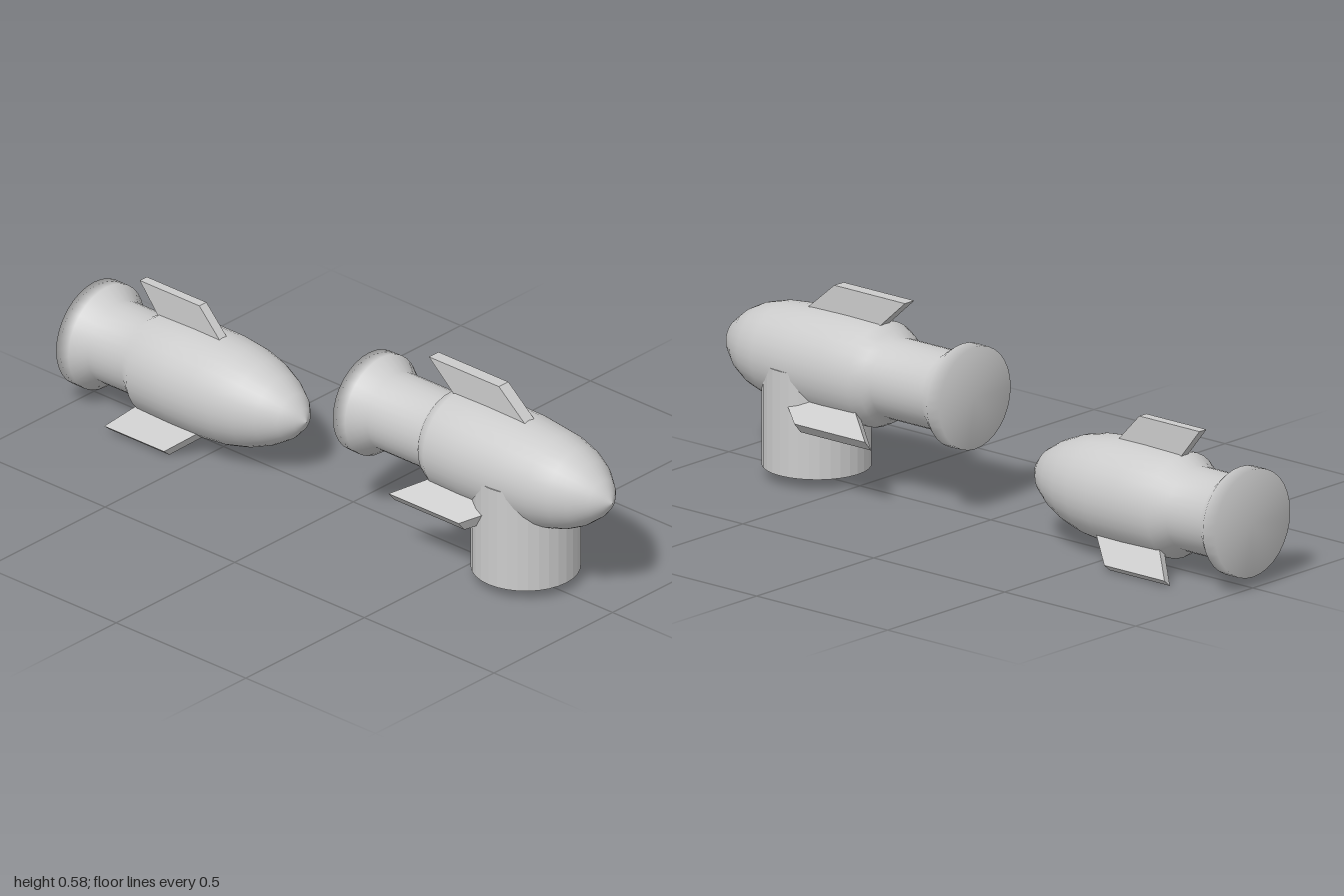
import * as THREE from 'three';

const material = new THREE.MeshStandardMaterial({ color: 0xcccccc });
const smoothBoth = new THREE.MeshStandardMaterial({ color: 0xcccccc, side: THREE.DoubleSide });
const faceted = new THREE.MeshStandardMaterial({ color: 0xcccccc, flatShading: true });

// Fin outline as [z, radius] corners, extruded sideways and turned about the rocket's axis
function makeFin(outline, thickness, angle, name) {
  const shape = new THREE.Shape(outline.map(([z, r]) => new THREE.Vector2(z, r)));
  const geometry = new THREE.ExtrudeGeometry(shape, { depth: thickness, bevelEnabled: false });
  geometry.translate(0, 0, -thickness / 2);
  geometry.rotateY(-Math.PI / 2); // shape x becomes z, depth runs along x
  geometry.rotateZ(angle);
  const fin = new THREE.Mesh(geometry, faceted);
  fin.name = name;
  return fin;
}

// Body profile is [radius, z] from tail to nose
function makeRocket({ name, height, profile, fin, thickness, lowerAngle }) {
  const rocket = new THREE.Group();
  rocket.name = name;
  const points = profile.map(([r, z]) => new THREE.Vector2(r, z));
  const hull = new THREE.LatheGeometry(points, 32);
  hull.rotateX(Math.PI / 2);
  const body = new THREE.Mesh(hull, smoothBoth);
  body.name = 'body';
  rocket.add(body);

  // One upright fin and a mirrored pair below
  rocket.add(
    makeFin(fin, thickness, 0, 'topFin'),
    makeFin(fin, thickness, -lowerAngle, 'leftFin'),
    makeFin(fin, thickness, lowerAngle, 'rightFin'),
  );
  rocket.position.y = height;
  return rocket;
}

export function createModel() {
  const model = new THREE.Group();
  model.name = 'rocketPair';

  model.add(makeRocket({
    name: 'frontRocket',
    height: 0.353,
    profile: [
      [0, 0.06], [0.152, 0.06], [0.153, 0.108], [0.118, 0.16], [0.118, 0.355], [0.138, 0.375],
      [0.155, 0.41], [0.157, 0.53], [0.155, 0.66], [0.142, 0.79], [0.123, 0.86],
      [0.098, 0.91], [0.058, 0.96], [0.028, 0.985], [0, 1],
    ],
    fin: [[0.46, 0.1], [0.74, 0.1], [0.58, 0.235], [0.31, 0.235]],
    thickness: 0.04,
    lowerAngle: THREE.MathUtils.degToRad(131),
  }));

  model.add(makeRocket({
    name: 'rearRocket',
    height: 0.195,
    profile: [
      [0, -1], [0.16, -1], [0.16, -0.952], [0.124, -0.91], [0.124, -0.78], [0.155, -0.735],
      [0.158, -0.6], [0.157, -0.5], [0.149, -0.42], [0.132, -0.35], [0.105, -0.285],
      [0.07, -0.23], [0.035, -0.197], [0, -0.18],
    ],
    fin: [[-0.7, 0.1], [-0.45, 0.1], [-0.58, 0.238], [-0.81, 0.238]],
    thickness: 0.03,
    lowerAngle: THREE.MathUtils.degToRad(140),
  }));

  // Round pedestal under the front rocket
  const stand = new THREE.Mesh(new THREE.CylinderGeometry(0.157, 0.157, 0.31, 32), material);
  stand.name = 'stand';
  stand.material = faceted;
  stand.position.set(0, 0.19, 0.665);
  model.add(stand);

  return model;
}
